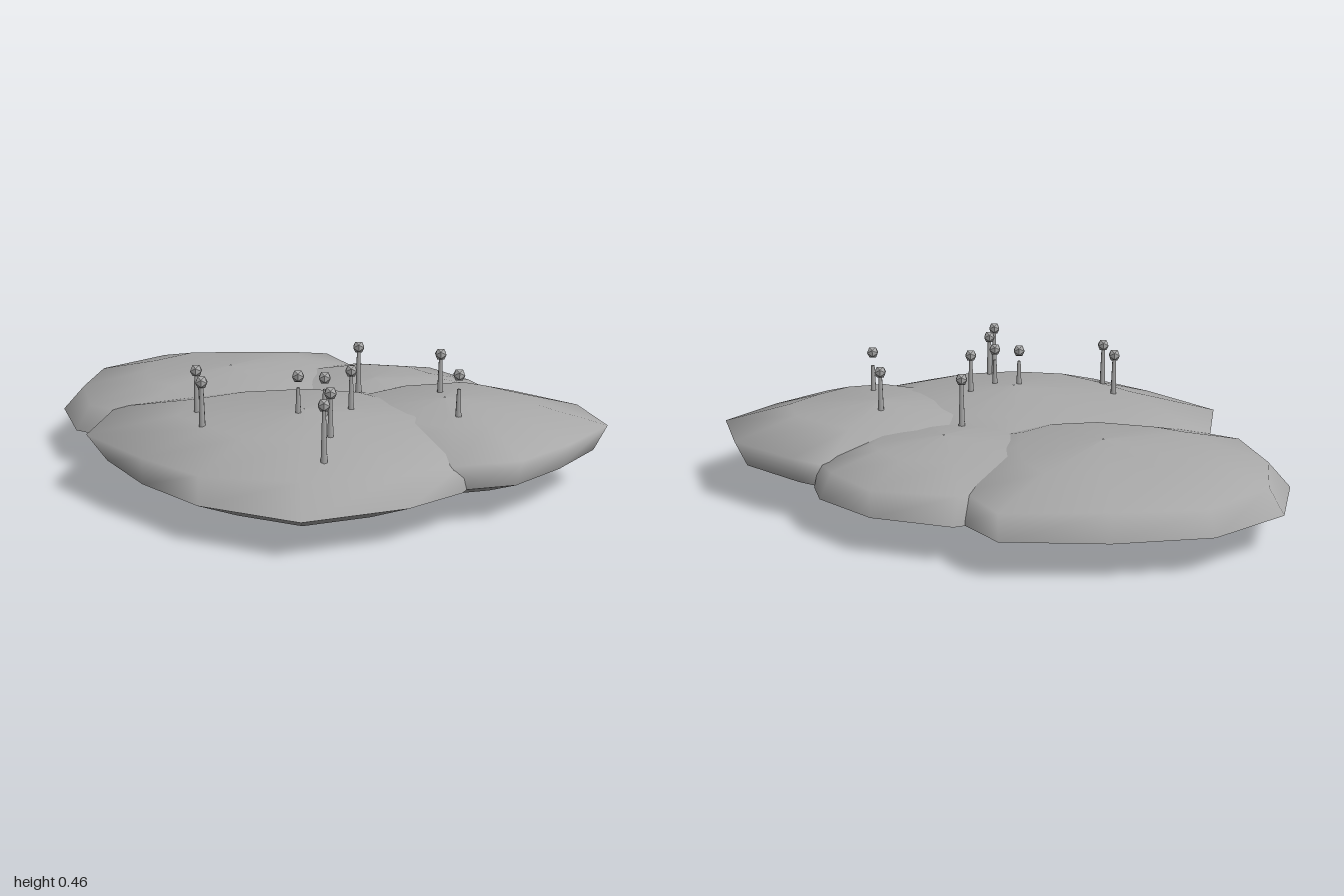
import * as THREE from 'three';

const EDGE_Y = 0.13, SHOULDER_Y = 0.22;

// Ring of 3D points: an outline scaled about a centre, at height y
function ring(outline, [cx, cz], scale, y) {
  return outline.map(([x, z]) => [cx + (x - cx) * scale, y, cz + (z - cz) * scale]);
}

// Skin between rings listed from bottom to top (outlines run anticlockwise from above)
function loft(rings) {
  const n = rings[0].length, index = [];
  for (let r = 0; r < rings.length - 1; r++) {
    for (let j = 0; j < n; j++) {
      const a = r * n + j, b = r * n + (j + 1) % n;
      index.push(a, b, b + n, a, b + n, a + n);
    }
  }
  const geometry = new THREE.BufferGeometry();
  geometry.setAttribute('position', new THREE.Float32BufferAttribute(rings.flat(2), 3));
  geometry.setIndex(index);
  geometry.computeVertexNormals();
  return geometry;
}

// One flattened boulder: shallow underside, short wall and low dome
function boulder(name, { centre, top, bottom, edge, shoulder }, material) {
  const group = new THREE.Group();
  group.name = name;
  const under = loft([
    ring(edge, centre, 0.005, bottom),
    ring(edge, centre, 0.65, bottom + 0.3 * (EDGE_Y - bottom)),
    ring(edge, centre, 1, EDGE_Y),
  ]);
  const dome = loft([
    ring(edge, centre, 1, EDGE_Y),
    ring(shoulder, centre, 1, SHOULDER_Y),
    ring(shoulder, centre, 0.58, SHOULDER_Y + 0.74 * (top - SHOULDER_Y)),
    ring(shoulder, centre, 0.005, top),
  ]);
  [['underside', under], ['dome', dome]].forEach(([part, geometry]) => {
    const mesh = new THREE.Mesh(geometry, material);
    mesh.name = part;
    group.add(mesh);
  });
  return group;
}

const rightShoulder = [[0.99, 0.14], [0.92, -0.12], [0.7, -0.31], [0.57, -0.39], [0.2, -0.3],
  [-0.05, -0.1], [-0.08, 0.2], [0.1, 0.45], [0.42, 0.6], [0.65, 0.54], [0.83, 0.36]];

const BOULDERS = {
  frontBoulder: {
    centre: [-0.07, 0.27], top: 0.316, bottom: 0,
    edge: [[-0.75, 0.27], [-0.6, 0.52], [-0.4, 0.73], [-0.07, 0.88], [0.27, 0.75], [0.45, 0.6],
      [0.6, 0.27], [0.5, 0], [0.25, -0.25], [-0.07, -0.33], [-0.45, -0.27], [-0.73, -0.08]],
    shoulder: [[-0.82, 0.26], [-0.6, 0.52], [-0.4, 0.7], [-0.07, 0.76], [0.25, 0.7], [0.46, 0.56],
      [0.6, 0.27], [0.5, 0], [0.25, -0.25], [-0.07, -0.32], [-0.45, -0.25], [-0.76, -0.08]],
  },
  backBoulder: {
    centre: [-0.36, -0.36], top: 0.302, bottom: 0.03,
    edge: [[-1, -0.36], [-0.91, -0.08], [-0.77, 0.01], [-0.36, 0.15], [-0.05, 0.1], [0.13, -0.1],
      [0.2, -0.36], [0.12, -0.7], [0, -0.87], [-0.35, -0.89], [-0.68, -0.84], [-0.93, -0.64]],
    shoulder: [[-0.92, -0.36], [-0.86, -0.1], [-0.7, 0], [-0.36, 0.1], [-0.08, 0.06], [0.1, -0.1],
      [0.14, -0.36], [0.11, -0.65], [0, -0.86], [-0.35, -0.855], [-0.66, -0.83], [-0.88, -0.62]],
  },
  sideBoulder: {
    centre: [0.42, 0.1], top: 0.31, bottom: 0.03,
    edge: rightShoulder.map(([x, z]) => [0.42 + (x - 0.42) * 0.92, 0.1 + (z - 0.1) * 0.96]),
    shoulder: rightShoulder,
  },
  smallBoulder: {
    centre: [0.18, -0.25], top: 0.285, bottom: 0.05,
    edge: [[0.14, -0.74], [-0.2, -0.6], [-0.3, -0.3], [-0.1, 0.05], [0.3, 0.1], [0.55, -0.1],
      [0.62, -0.35], [0.59, -0.47], [0.41, -0.65]],
    shoulder: [[0.12, -0.7], [-0.2, -0.58], [-0.28, -0.3], [-0.1, 0.05], [0.3, 0.1], [0.52, -0.1],
      [0.6, -0.35], [0.55, -0.46], [0.41, -0.64]],
  },
};

// Pin positions x, z and the height of the stem tip
const PINS = [[-0.44, 0.23, 0.425], [-0.41, 0.38, 0.425], [-0.09, 0.3, 0.4], [0, 0.32, 0.4],
  [0.02, 0.51, 0.425], [0, 0.65, 0.425], [0.09, 0.23, 0.425], [0.12, -0.1, 0.425],
  [0.41, 0, 0.425], [0.455, 0.28, 0.39]];

export function createModel() {
  const model = new THREE.Group();
  model.name = 'boulderCluster';
  const stone = new THREE.MeshStandardMaterial({ color: 0xa8a8a8 });
  stone.name = 'stone grey';

  for (const [name, spec] of Object.entries(BOULDERS)) model.add(boulder(name, spec, stone));

  // Tapered stems with small faceted heads
  const headGeometry = new THREE.IcosahedronGeometry(0.023, 0);
  PINS.forEach(([x, z, tip]) => {
    const pin = new THREE.Group();
    pin.name = 'pin';
    const base = z > 0.6 ? 0.24 : 0.26;
    const stem = new THREE.Mesh(new THREE.CylinderGeometry(0.007, 0.013, tip - base, 6), stone);
    stem.name = 'stem';
    stem.position.y = (tip + base) / 2;
    const head = new THREE.Mesh(headGeometry, stone);
    head.name = 'head';
    head.position.y = 0.44;
    pin.add(stem, head);
    pin.position.set(x, 0, z);
    model.add(pin);
  });
  return model;
}
